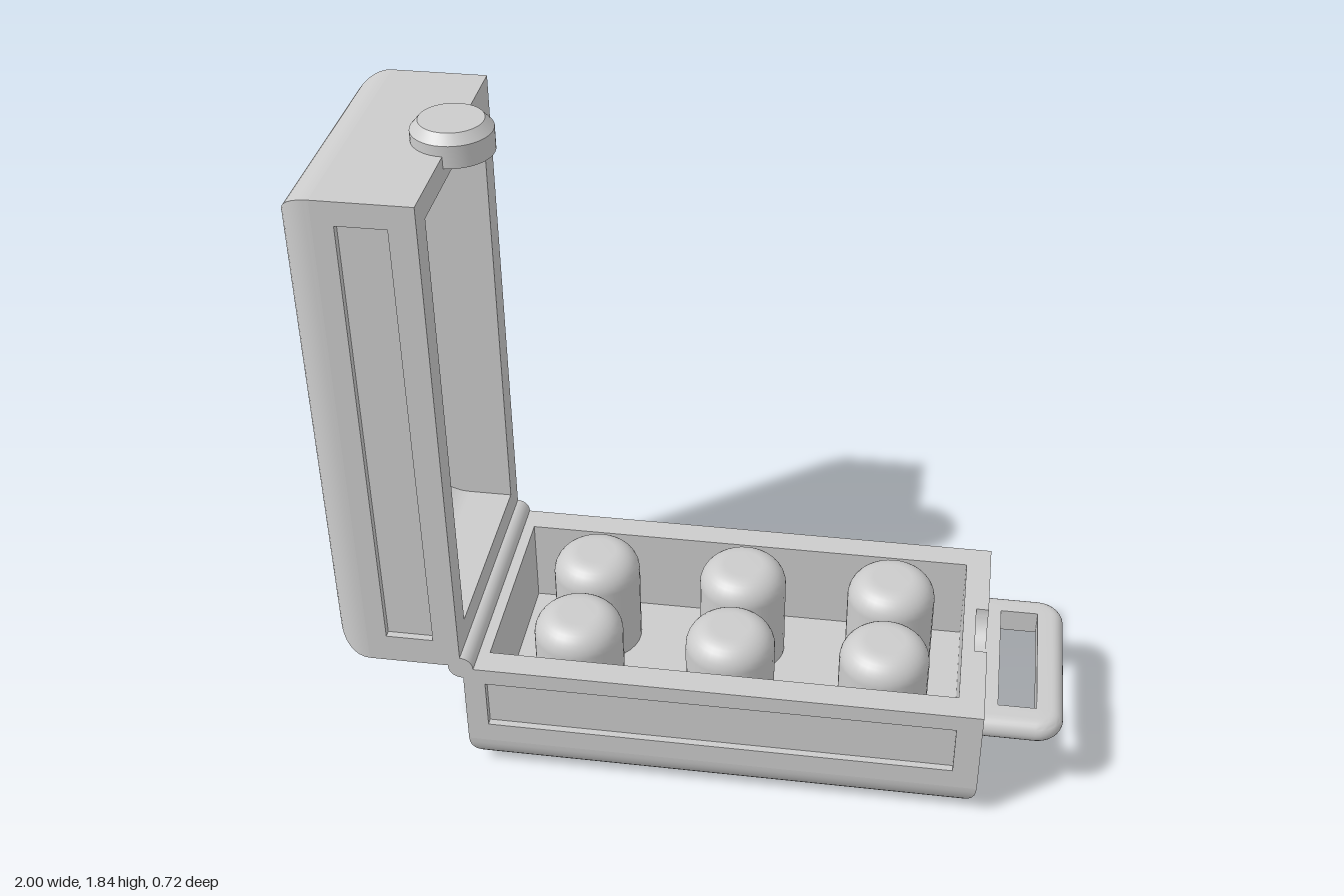
import * as THREE from 'three';
import { toCreasedNormals } from 'three/addons/utils/BufferGeometryUtils.js';

const material = new THREE.MeshStandardMaterial({ color: 0xcccccc });
const W = 0.36;      // half width of the case
const IN = 0.285;    // half width of the cavity
const R = 0.1;       // outer edge rounding, also the floor height
const LEN = 1.42;

function add(parent, name, geometry, x = 0, y = 0, z = 0) {
  const mesh = new THREE.Mesh(geometry, material);
  mesh.name = name;
  mesh.position.set(x, y, z);
  parent.add(mesh);
  return mesh;
}

function box(parent, name, x0, x1, y0, y1, z0, z1) {
  return add(parent, name, new THREE.BoxGeometry(x1 - x0, y1 - y0, z1 - z0),
    (x0 + x1) / 2, (y0 + y1) / 2, (z0 + z1) / 2);
}

function extrude(shape, depth) {
  const g = new THREE.ExtrudeGeometry(shape, { depth, bevelEnabled: false, curveSegments: 20 });
  return toCreasedNormals(g, 0.5);
}

// Horizontal rectangular ring; the two corners at x1 have radius r
function ring(x0, x1, w, y, r = 0, n = 8) {
  const points = [];
  for (let q = 0; q < 4; q++) {
    const right = q === 0 || q === 3, front = q < 2, rad = right ? r : 0;
    const cx = right ? x1 - rad : x0, cz = front ? w - rad : rad - w;
    for (let i = 0; i <= n; i++) {
      const a = (q + i / n) * Math.PI / 2;
      points.push([cx + rad * Math.cos(a), y, cz + rad * Math.sin(a)]);
    }
  }
  return points;
}

// Skin through a list of rings, from bottom to top
function loft(rings) {
  const n = rings[0].length, index = [];
  for (let i = 0; i < rings.length - 1; i++) {
    for (let j = 0; j < n; j++) {
      const k = (j + 1) % n;
      const a = i * n + j, b = i * n + k, c = b + n, d = a + n;
      index.push(a, d, b, b, d, c);
    }
  }
  const g = new THREE.BufferGeometry();
  g.setAttribute('position', new THREE.Float32BufferAttribute(rings.flat(2), 3));
  g.setIndex(index);
  return toCreasedNormals(g.toNonIndexed(), 0.5);
}

function rectangle(PathType, x0, x1, y0, y1) {
  return new PathType([[x0, y0], [x1, y0], [x1, y1], [x0, y1]].map(p => new THREE.Vector2(...p)));
}

// Half of the case, opening upwards, centred on x
function createTray({ height, wallNeg, wallPos, panel, notch }) {
  const tray = new THREE.Group(), h = LEN / 2;

  // rounded bottom with the cavity floor on top
  const rings = [ring(0, 0, 0, 0, 0, 1)];
  for (let i = 0; i <= 10; i++) {
    const a = i / 10 * Math.PI / 2, inset = R * (1 - Math.sin(a));
    rings.push(ring(inset - h, h - inset, W - inset, R * (1 - Math.cos(a)), 0, 1));
  }
  rings.push(ring(0, 0, 0, R, 0, 1));
  add(tray, 'roundedBottom', loft(rings));

  // long walls with a shallow recessed panel outside
  const depth = 0.02;
  const frame = rectangle(THREE.Shape, -h, h, R, height);
  frame.holes.push(rectangle(THREE.Path, panel[0], panel[1], panel[2], panel[3]));
  for (const s of [-1, 1]) {
    add(tray, 'panelFrame', extrude(frame, depth), 0, 0, s > 0 ? W - depth : -W);
    const zs = [s * IN, s * (W - depth)].sort((a, b) => a - b);
    box(tray, 'sideWall', -h, h, R, height, zs[0], zs[1]);
  }

  // end walls, one with a half-round notch for the catch
  box(tray, 'endWall', -h, wallNeg - h, R, height, -IN, IN);
  const cut = notch ? 0.035 : 0;
  box(tray, 'endWall', h - wallPos, h - cut, R, height, -IN, IN);
  if (notch) {
    const s = new THREE.Shape();
    s.moveTo(-IN, R);
    s.lineTo(IN, R);
    s.lineTo(IN, height);
    s.lineTo(0.09, height);
    s.absarc(0, height, 0.09, 0, Math.PI, true);
    s.lineTo(-IN, height);
    // the outer strips of this wall end flush with the frames
    add(tray, 'notchedWall', extrude(s, cut).rotateY(Math.PI / 2), h - cut);
  }
  return tray;
}

function createHandle() {
  const t = 0.035, y = 0.235;
  const hole = v => ring(0.82, 0.925, 0.2, v);
  const rings = [hole(y - t)];
  for (let i = 0; i <= 12; i++) {
    const a = (i / 12 - 0.5) * Math.PI, inset = t * (1 - Math.cos(a));
    rings.push(ring(0.74 + inset, 1 - inset, 0.275 - inset, y + t * Math.sin(a), 0.075 - inset));
  }
  rings.push(hole(y + t), hole(y - t));
  return loft(rings);
}

export function createModel() {
  const model = new THREE.Group();
  model.name = 'openCase';

  // base
  const base = createTray({
    height: 0.36, wallNeg: 0.06, wallPos: 0.07, panel: [-0.65, 0.64, 0.16, 0.31], notch: true,
  });
  base.name = 'base';
  base.position.x = 0.07;
  model.add(base);

  // lid, standing upright at the hinge
  const lid = createTray({
    height: 0.355, wallNeg: 0.07, wallPos: 0.105, panel: [-0.645, 0.625, 0.155, 0.285], notch: false,
  });
  lid.name = 'lid';
  lid.rotation.z = -Math.PI / 2;
  lid.position.set(-1, 1.077, 0);
  model.add(lid);

  // rounded inner corner at the hinge end of the lid
  const cx = LEN / 2 - 0.105, r = 0.13;
  const cove = new THREE.Shape();
  cove.moveTo(cx, R);
  cove.lineTo(cx, R + r);
  cove.absarc(cx - r, R + r, r, 0, -Math.PI / 2, true);
  add(lid, 'innerCove', extrude(cove, 2 * IN), 0, 0, -IN);

  // hinge rod
  add(model, 'hinge', new THREE.CylinderGeometry(0.035, 0.035, 2 * W, 24).rotateX(Math.PI / 2), -0.645, 0.362);

  // round catch on the lid
  const catchProfile = [[0, 1.755], [0.105, 1.755], [0.105, 1.815], [0.083, 1.84], [0, 1.84]]
    .map(p => new THREE.Vector2(...p));
  add(model, 'catchButton', toCreasedNormals(new THREE.LatheGeometry(catchProfile, 40), 0.5), -0.645);

  // six domed pegs in the base
  const peg = [new THREE.Vector2(0.125, R)];
  for (let i = 0; i <= 8; i++) {
    const a = i / 8 * Math.PI / 2;
    peg.push(new THREE.Vector2(0.055 + 0.07 * Math.cos(a), 0.34 + 0.07 * Math.sin(a)));
  }
  peg.push(new THREE.Vector2(0, 0.41));
  const pegGeometry = new THREE.LatheGeometry(peg, 32);
  for (const x of [-0.36, 0.07, 0.5]) {
    for (const z of [-0.137, 0.137]) add(model, 'peg', pegGeometry, x, 0, z);
  }

  // carrying handle
  add(model, 'handle', createHandle());
  return model;
}
